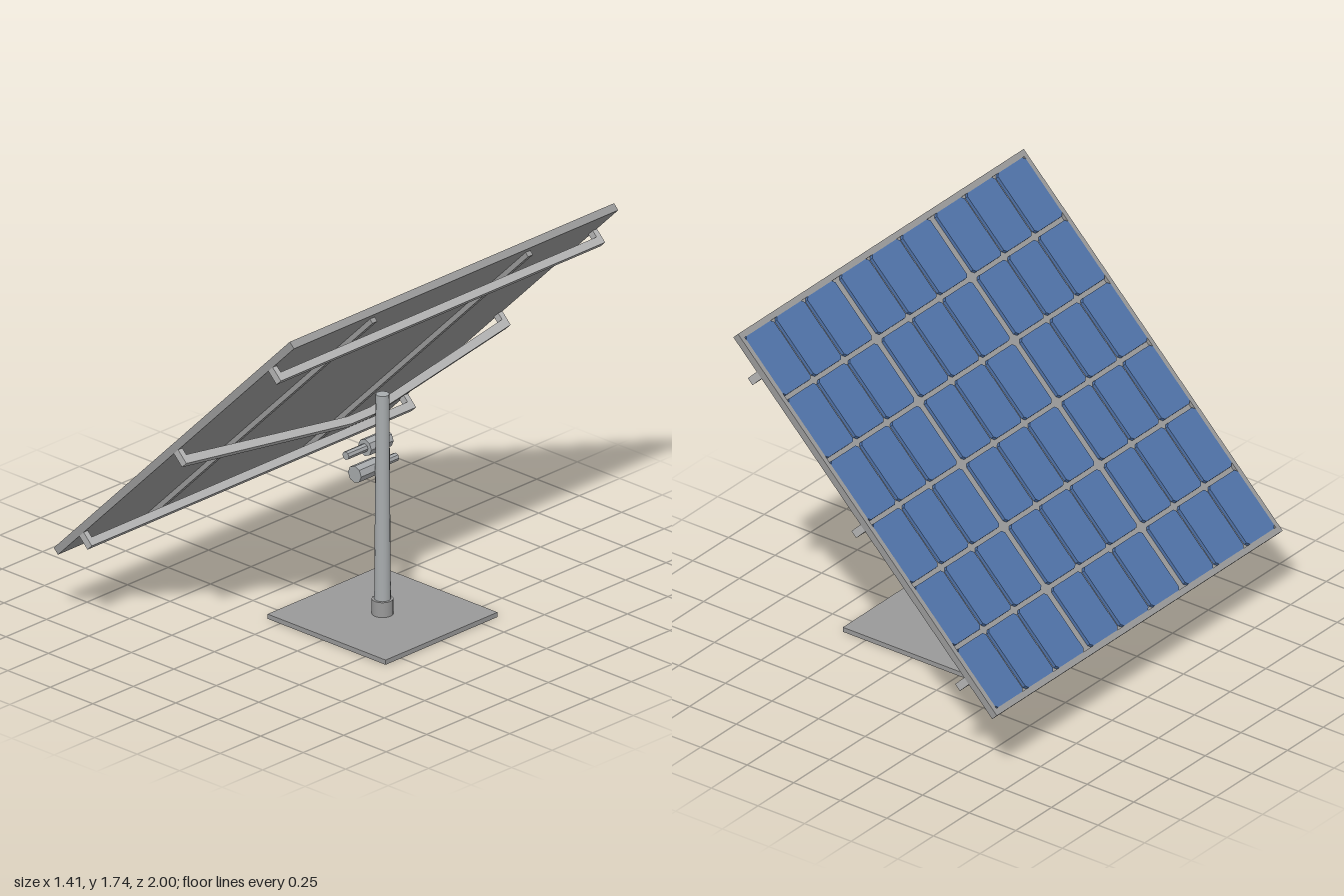
import * as THREE from 'three';

const material = (name, color, extra = {}) => {
  const m = new THREE.MeshStandardMaterial({ color, ...extra });
  m.name = name;
  return m;
};

function polygon(points) {
  return new THREE.Shape(points.map(([x, y]) => new THREE.Vector2(x, y)));
}

function rectangle(w, h) {
  return polygon([[-w / 2, -h / 2], [w / 2, -h / 2], [w / 2, h / 2], [-w / 2, h / 2]]);
}

// Rectangle with its four corners cut off
function cutRectangle(w, h, c) {
  const a = w / 2, b = h / 2;
  return polygon([[-a + c, -b], [a - c, -b], [a, -b + c], [a, b - c],
    [a - c, b], [-a + c, b], [-a, b - c], [-a, -b + c]]);
}

const extrude = (shape, depth) => new THREE.ExtrudeGeometry(shape, { depth, bevelEnabled: false });

export function createModel() {
  const model = new THREE.Group();
  model.name = 'solarPanelOnPole';

  const gray = material('panelGray', 0x999999);
  const steel = material('barSteel', 0xb4b4b4);
  const poleMetal = material('poleMetal', 0xa8acae);
  const blue = material('cellBlue', 0x4f72a8);

  const add = (parent, name, geometry, mat, x = 0, y = 0, z = 0) => {
    const mesh = new THREE.Mesh(geometry, mat);
    mesh.name = name;
    mesh.position.set(x, y, z);
    parent.add(mesh);
    return mesh;
  };

  // Ground plate, collar and tapered pole
  const poleX = 0.274;
  add(model, 'basePlate', new THREE.BoxGeometry(0.695, 0.022, 0.69), gray, poleX, 0.011, 0);
  add(model, 'poleCollar', new THREE.CylinderGeometry(0.047, 0.047, 0.07, 16), gray, poleX, 0.056, 0);
  add(model, 'pole', new THREE.CylinderGeometry(0.029, 0.036, 1.023, 16), poleMetal, poleX, 0.5335, 0);

  // Two opposed eight-sided motors with thin shafts
  const motorMetal = material('motorMetal', 0xa6a9ab, { flatShading: true });
  const motor = (name, y, dir) => {
    const g = new THREE.Group();
    g.name = name;
    g.position.set(0.205, y, 0);
    const body = add(g, 'motorBody', new THREE.CylinderGeometry(0.039, 0.039, 0.137, 8), motorMetal, 0, 0, -dir * 0.0315);
    const shaft = add(g, 'motorShaft', new THREE.CylinderGeometry(0.019, 0.019, 0.12, 8), motorMetal, 0, 0, dir * 0.095);
    body.rotation.x = shaft.rotation.x = Math.PI / 2;
    model.add(g);
  };
  motor('upperMotor', 0.785, 1);
  motor('lowerMotor', 0.68, -1);

  // Tilted panel: local x runs up the slope, local y is the panel normal
  const panel = new THREE.Group();
  panel.name = 'tiltedPanel';
  panel.position.set(0, 1.03, 0);
  panel.rotation.z = Math.PI / 4;
  model.add(panel);

  const length = 1.965, width = 2, top = 0.0175;
  const cellArea = [1.91, 1.956];
  add(panel, 'backSheet', new THREE.BoxGeometry(length, 0.017, width), gray, 0, -0.009, 0);

  // Raised rim around the cells
  const rimShape = rectangle(length, width);
  rimShape.holes.push(rectangle(...cellArea));
  const rim = extrude(rimShape, top + 0.0005);
  rim.rotateX(-Math.PI / 2);
  add(panel, 'panelRim', rim, gray, 0, -0.0005, 0);

  // Raised cells: six up the slope, three groups of three across
  const cells = new THREE.Group();
  cells.name = 'solarCells';
  panel.add(cells);
  const gap = 0.02, groupGap = 0.044;
  const cellL = (cellArea[0] - 5 * gap) / 6;
  const cellW = (cellArea[1] - 2 * groupGap - 6 * gap) / 9;
  const cell = extrude(cutRectangle(cellL, cellW, 0.013), top);
  cell.rotateX(-Math.PI / 2);
  for (let i = 0; i < 6; i++) {
    for (let j = 0; j < 9; j++) {
      const u = (i - 2.5) * (cellL + gap);
      const z = (j - 4) * (cellW + gap) + (Math.floor(j / 3) - 1) * (groupGap - gap);
      add(cells, 'solarCell', cell, blue, u, 0, z);
    }
  }

  // Flat rails on the back
  for (const z of [-0.48, 0.48]) {
    add(panel, 'backRail', new THREE.BoxGeometry(1.865, 0.022, 0.03), gray, 0, -0.0285, z);
  }

  // Cross bars with end posts; the middle one bows towards the pole
  const crossBar = (name, u, drop) => {
    const near = -0.05, far = -0.086, post = 0.974, flat = 0.07;
    const bar = extrude(polygon([
      [-1, -top], [-1, far], [-flat, far - drop], [flat, far - drop], [1, far], [1, -top],
      [post, -top], [post, near], [flat, near - drop], [-flat, near - drop], [-post, near], [-post, -top],
    ]), 0.036);
    bar.translate(0, 0, -0.018);
    bar.rotateY(Math.PI / 2);
    add(panel, name, bar, steel, u, 0, 0);
  };
  crossBar('lowerCrossBar', -0.787, 0);
  crossBar('middleCrossBar', 0, 0.124);
  crossBar('upperCrossBar', 0.787, 0);

  return model;
}
